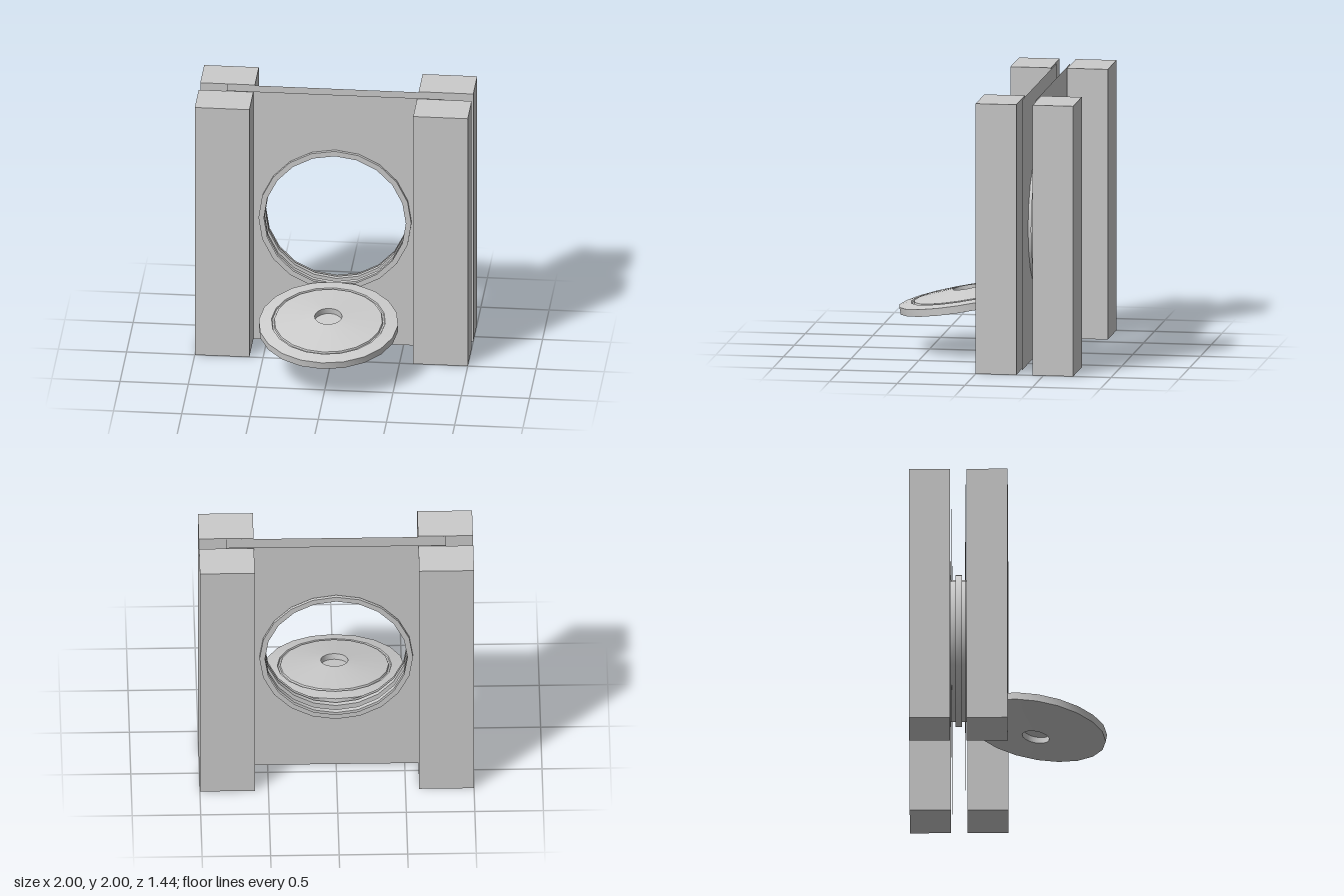
import * as THREE from 'three';
import { toCreasedNormals } from 'three/addons/utils/BufferGeometryUtils.js';

const SIDES = 20;
const grey = new THREE.MeshStandardMaterial({ color: 0xcccccc });
const greyThin = new THREE.MeshStandardMaterial({ color: 0xcccccc, side: THREE.DoubleSide });

function lathe(name, profile, material) {
  const points = profile.map(([r, y]) => new THREE.Vector2(r, y));
  const geometry = toCreasedNormals(new THREE.LatheGeometry(points, SIDES), 0.4);
  const mesh = new THREE.Mesh(geometry, material);
  mesh.name = name;
  return mesh;
}

// Thin square-edged sheet with a round opening
function panelGeometry() {
  const shape = new THREE.Shape();
  shape.moveTo(-0.8, 0).lineTo(0.8, 0).lineTo(0.8, 2).lineTo(-0.8, 2).closePath();
  const hole = [];
  for (let i = 0; i < SIDES; i++) {
    const a = -i / SIDES * Math.PI * 2;
    hole.push(new THREE.Vector2(0.52 * Math.cos(a), 1 + 0.52 * Math.sin(a)));
  }
  shape.holes.push(new THREE.Path(hole));
  return new THREE.ShapeGeometry(shape);
}

export function createModel() {
  const group = new THREE.Group();

  // Four square posts, in pairs clamping the panels
  const postGeometry = new THREE.BoxGeometry(0.4, 2, 0.3);
  for (const [row, z] of [['front', -0.15], ['rear', -0.57]]) {
    for (const [side, x] of [['Left', 0.8], ['Right', -0.8]]) {
      const post = new THREE.Mesh(postGeometry, grey);
      post.name = `${row}${side}Post`;
      post.position.set(x, 1, z);
      group.add(post);
    }
  }

  // Two parallel wall sheets
  const sheet = panelGeometry();
  for (const [name, z] of [['frontPanel', -0.31], ['rearPanel', -0.41]]) {
    const panel = new THREE.Mesh(sheet, greyThin);
    panel.name = name;
    panel.position.z = z;
    group.add(panel);
  }

  // Ribbed ring lining the opening, with a flange at each face
  const half = [[0.52, 0.085], [0.56, 0.085], [0.56, 0.06], [0.52, 0.06], [0.52, 0.024], [0.56, 0.024]];
  const ringProfile = [...half.map(([r, y]) => [r, -y]), ...half.slice().reverse()];
  const ring = lathe('openingRing', ringProfile, greyThin);
  ring.rotation.x = Math.PI / 2;
  ring.position.set(0, 1, -0.36);
  group.add(ring);

  // Tilted lens-shaped hatch disc, with hub recesses and a groove on top
  const disc = lathe('hatchDisc', [
    [0, -0.035], [0.1, -0.035], [0.1, -0.081],
    [0.51, -0.027], [0.51, 0.027],
    [0.417, 0.04], [0.412, 0.03], [0.4, 0.03], [0.395, 0.043],
    [0.1, 0.081], [0.1, 0.035], [0, 0.035],
  ], grey);
  disc.rotation.x = THREE.MathUtils.degToRad(10);
  disc.position.set(0, 0.386, 0.215);
  group.add(disc);

  return group;
}
